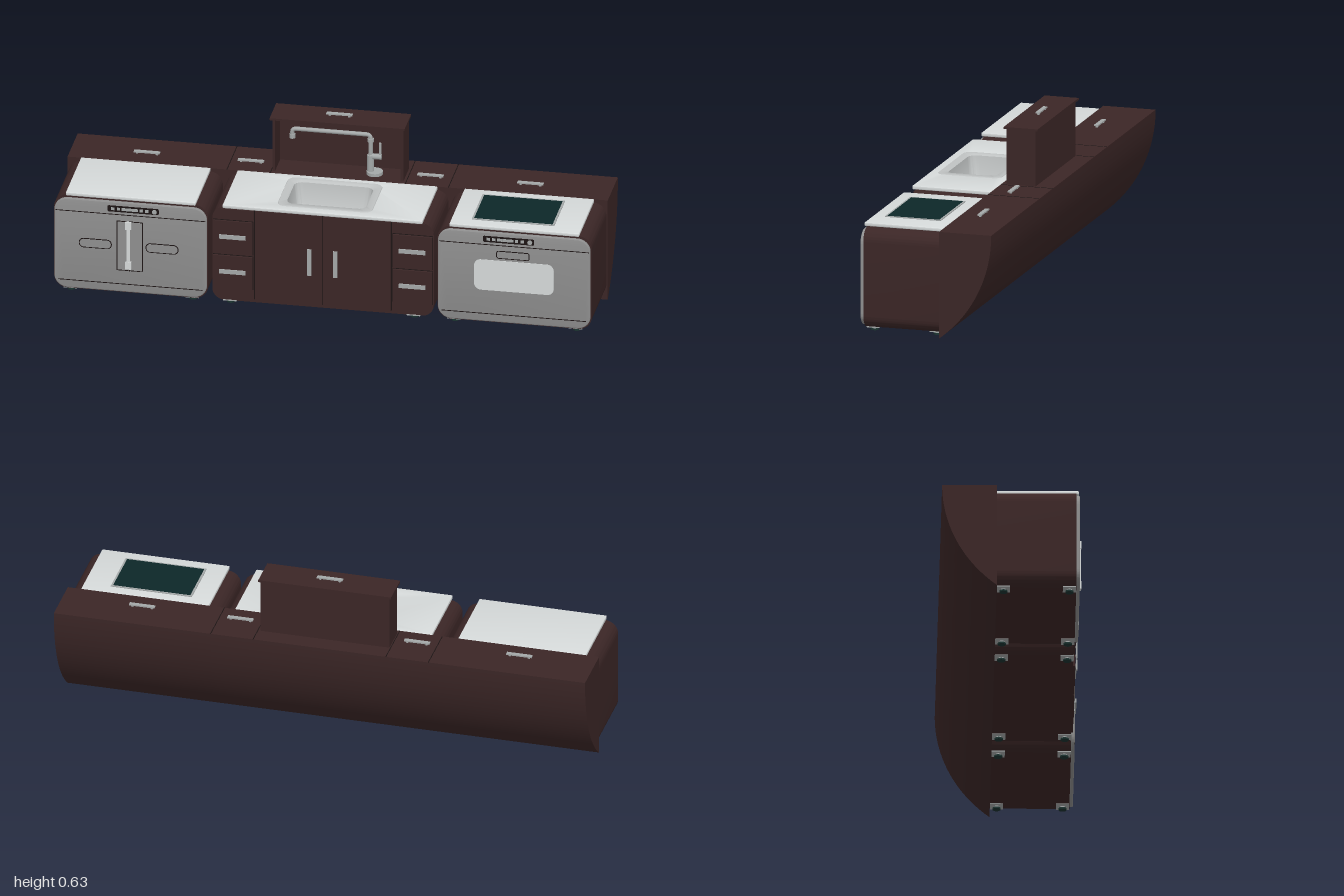
import * as THREE from 'three';
import { toCreasedNormals } from 'three/addons/utils/BufferGeometryUtils.js';

const material = (name, color, side = THREE.FrontSide) => {
  const m = new THREE.MeshStandardMaterial({ color, side });
  m.name = name;
  return m;
};

export function createModel() {
  const brown = material('dark brown lacquer', 0x3b2626);
  const seam = material('dark seam', 0x1c1414);
  const steel = material('brushed steel', 0x8f8f8f);
  const chrome = material('bright fittings', 0xa4a8a8);
  const stone = material('pale worktop', 0xd6dada);
  const bowlMat = material('sink steel', 0xbfc2c2, THREE.DoubleSide);
  const glass = material('dark glass', 0x0c2728);
  const rubber = material('foot rubber', 0x1b3330);

  const model = new THREE.Group();
  model.name = 'kitchenUnit';

  const group = (name, parent = model) => {
    const g = new THREE.Group();
    g.name = name;
    parent.add(g);
    return g;
  };
  const add = (parent, name, geo, mat, x = 0, y = 0, z = 0) => {
    const m = new THREE.Mesh(geo, mat);
    m.name = name;
    m.position.set(x, y, z);
    parent.add(m);
    return m;
  };
  const box = (p, name, mat, w, h, d, x, y, z) => add(p, name, new THREE.BoxGeometry(w, h, d), mat, x, y, z);
  const cyl = (p, name, mat, r, h, x, y, z) => add(p, name, new THREE.CylinderGeometry(r, r, h, 20), mat, x, y, z);

  // rounded rectangle outline, usable as a shape or a hole
  const rounded = (w, h, r, cx = 0, cy = 0, Kind = THREE.Shape) => {
    const s = new Kind(), a = w / 2 - r, b = h / 2 - r;
    s.absarc(cx + a, cy + b, r, 0, Math.PI / 2);
    s.absarc(cx - a, cy + b, r, Math.PI / 2, Math.PI);
    s.absarc(cx - a, cy - b, r, Math.PI, Math.PI * 1.5);
    s.absarc(cx + a, cy - b, r, Math.PI * 1.5, Math.PI * 2);
    s.closePath();
    return s;
  };
  const extrude = (shape, depth, bevel = 0) => {
    const g = new THREE.ExtrudeGeometry(shape, {
      depth: depth - 2 * bevel, curveSegments: 12, bevelEnabled: bevel > 0,
      bevelSize: bevel, bevelThickness: bevel, bevelOffset: -bevel, bevelSegments: 3,
    });
    g.translate(0, 0, bevel);
    return toCreasedNormals(g, 0.6);
  };
  // rounded plate on a front face; z is its back
  const plate = (p, name, mat, w, h, r, d, x, y, z, bevel = 0) =>
    add(p, name, extrude(rounded(w, h, r), d, bevel), mat, x, y, z);

  // bar handle on two posts, lying along x and standing out along z
  const handle = (p, name, len, x, y, z) => {
    const g = group(name, p);
    g.position.set(x, y, z);
    box(g, 'bar', chrome, len, 0.016, 0.005, 0, 0, 0.0085);
    for (const s of [-1, 1]) box(g, 'post', chrome, 0.008, 0.008, 0.007, s * len * 0.38, 0, 0.0035);
    return g;
  };

  const feet = (p, xs) => {
    for (const x of xs) for (const z of [0.21, -0.03]) {
      box(p, 'footPlate', chrome, 0.05, 0.004, 0.048, x, 0.014, z);
      cyl(p, 'footStem', chrome, 0.01, 0.008, x, 0.009, z);
      cyl(p, 'foot', rubber, 0.015, 0.006, x, 0.003, z);
    }
  };

  const worktop = (p, x, w, hole) => {
    const s = rounded(w, 0.3, 0.004, 0, -0.095);
    if (hole) s.holes.push(hole);
    const g = extrude(s, 0.014, 0.003);
    g.rotateX(-Math.PI / 2);
    add(p, 'worktop', g, stone, x, 0.388, 0);
  };

  // rear wall box with bowed back, in three lengths
  const rear = group('rearHousing');
  const profile = new THREE.Shape();
  profile.moveTo(0.055, 0.4);
  profile.lineTo(0.055, 0);
  profile.absarc(-0.2475, 0.4, 0.5015, -0.923, 0);
  profile.closePath();
  for (const [x0, x1] of [[-1, -0.41], [-0.41, 0.41], [0.41, 1]]) {
    const g = new THREE.ExtrudeGeometry(profile, { depth: x1 - x0, curveSegments: 32, bevelEnabled: false });
    g.rotateY(Math.PI / 2);
    add(rear, 'bowedSection', toCreasedNormals(g, 0.5), brown, x0);
  }
  for (const x of [-0.41, -0.25, 0.25, 0.41]) box(rear, 'lidSeam', seam, 0.003, 0.001, 0.198, x, 0.4003, -0.155);
  for (const x of [-0.72, -0.335, 0.33, 0.7]) handle(rear, 'lidHandle', 0.096, x, 0.4, -0.13).rotation.x = -Math.PI / 2;

  // raised niche behind the sink
  const niche = group('tapNiche');
  box(niche, 'nicheBack', brown, 0.485, 0.21, 0.01, -0.003, 0.504, -0.18);
  for (const s of [-1, 1]) box(niche, 'nicheSide', brown, 0.01, 0.21, 0.11, -0.003 + s * 0.2375, 0.504, -0.13);
  box(niche, 'nicheLid', brown, 0.5, 0.008, 0.13, -0.004, 0.612, -0.13);
  handle(niche, 'lidHandle', 0.096, -0.007, 0.616, -0.13).rotation.x = -Math.PI / 2;

  // tap with long arm and side lever
  const tap = group('tap');
  const path = new THREE.CurvePath();
  const v = (x, y) => new THREE.Vector3(x, y, -0.12);
  path.add(new THREE.LineCurve3(v(0.11, 0.4), v(0.11, 0.54)));
  path.add(new THREE.QuadraticBezierCurve3(v(0.11, 0.54), v(0.11, 0.556), v(0.094, 0.556)));
  path.add(new THREE.LineCurve3(v(0.094, 0.556), v(-0.165, 0.556)));
  path.add(new THREE.QuadraticBezierCurve3(v(-0.165, 0.556), v(-0.18, 0.556), v(-0.18, 0.541)));
  path.add(new THREE.LineCurve3(v(-0.18, 0.541), v(-0.18, 0.525)));
  add(tap, 'tapPipe', new THREE.TubeGeometry(path, 120, 0.008, 12), chrome);
  cyl(tap, 'tapNozzle', chrome, 0.011, 0.016, -0.18, 0.527, -0.12);
  cyl(tap, 'tapBase', chrome, 0.03, 0.012, 0.125, 0.406, -0.12);
  cyl(tap, 'tapBody', chrome, 0.013, 0.07, 0.11, 0.44, -0.12);
  cyl(tap, 'tapCollar', chrome, 0.012, 0.012, 0.11, 0.535, -0.12);
  cyl(tap, 'leverPivot', chrome, 0.011, 0.04, 0.13, 0.47, -0.12).rotation.z = Math.PI / 2;
  cyl(tap, 'lever', chrome, 0.005, 0.06, 0.145, 0.495, -0.12);

  // steel-fronted appliance shared by both ends
  const appliance = (name, cx, controlX) => {
    const g = group(name);
    add(g, 'body', extrude(rounded(0.57, 0.374, 0.05, 0, 0.201), 0.29), brown, cx, 0, -0.055);
    worktop(g, cx, 0.48);
    plate(g, 'frontPanel', steel, 0.565, 0.36, 0.05, 0.013, cx, 0.2, 0.235, 0.004);
    for (const y of [0.33, 0.052]) box(g, 'panelSeam', seam, 0.555 - (y < 0.1 ? 0.02 : 0), 0.003, 0.001, cx, y, 0.248);
    plate(g, 'controlStrip', seam, 0.19, 0.024, 0.006, 0.002, controlX, 0.353, 0.2475);
    for (let i = 0; i < 7; i++) {
      const mid = i > 1 && i < 5;
      box(g, 'button', chrome, mid ? 0.02 : 0.012, 0.011, 0.003, controlX - 0.075 + i * 0.021, 0.353, 0.2495);
    }
    cyl(g, 'knob', chrome, 0.009, 0.005, controlX + 0.079, 0.353, 0.251).rotation.x = Math.PI / 2;
    feet(g, [cx - 0.225, cx + 0.225]);
    return g;
  };
  // outlined rounded inset on a steel front
  const inset = (p, name, mat, w, h, r, x, y) => {
    plate(p, name + 'Outline', seam, w, h, r, 0.001, x, y, 0.2475);
    plate(p, name, mat, w - 0.007, h - 0.007, r - 0.0035, 0.002, x, y, 0.2475);
  };

  // left end: cooler with upright handle
  const cooler = appliance('coolerCabinet', -0.71, -0.7);
  inset(cooler, 'handlePlate', steel, 0.098, 0.2, 0.004, -0.713, 0.206);
  for (const x of [-0.84, -0.593]) inset(cooler, 'gripPill', steel, 0.122, 0.038, 0.018, x, 0.206);
  box(cooler, 'doorSplit', seam, 0.002, 0.2, 0.001, -0.713, 0.206, 0.2497);
  box(cooler, 'uprightHandle', stone, 0.012, 0.15, 0.006, -0.717, 0.21, 0.252);
  for (const y of [0.13, 0.29]) box(cooler, 'handleEnd', stone, 0.022, 0.03, 0.008, -0.717, y, 0.252);

  // right end: oven with window and glass hob
  const oven = appliance('ovenCabinet', 0.71, 0.69);
  inset(oven, 'ovenGrip', steel, 0.124, 0.032, 0.01, 0.706, 0.293);
  plate(oven, 'ovenWindow', stone, 0.295, 0.122, 0.025, 0.002, 0.71, 0.208, 0.2475);
  box(oven, 'hobFrame', chrome, 0.305, 0.003, 0.212, 0.697, 0.4035, 0.092);
  box(oven, 'hobGlass', glass, 0.29, 0.004, 0.197, 0.697, 0.404, 0.092);

  // middle cabinet, notched on top for the sink
  const middle = group('sinkCabinet');
  const body = new THREE.Shape();
  body.moveTo(-0.17, 0.388);
  body.absarc(-0.364, 0.342, 0.046, Math.PI / 2, Math.PI);
  body.absarc(-0.364, 0.06, 0.046, Math.PI, Math.PI * 1.5);
  body.absarc(0.364, 0.06, 0.046, Math.PI * 1.5, Math.PI * 2);
  body.absarc(0.364, 0.342, 0.046, 0, Math.PI / 2);
  for (const [x, y] of [[0.17, 0.388], [0.17, 0.25], [-0.17, 0.25]]) body.lineTo(x, y);
  body.closePath();
  add(middle, 'body', extrude(body, 0.287), brown, 0, 0, -0.055);
  worktop(middle, 0, 0.74, rounded(0.3, 0.2, 0.03, 0, -0.09, THREE.Path));
  feet(middle, [-0.345, 0.335]);
  for (const s of [-1, 1]) {
    box(middle, 'door', brown, 0.248, 0.36, 0.01, s * 0.1265, 0.206, 0.236);
    handle(middle, 'doorHandle', 0.105, s * 0.048, 0.2, 0.241).rotation.z = Math.PI / 2;
    box(middle, 'sideSeam', seam, 0.004, 0.36, 0.001, s * 0.2535, 0.206, 0.2325);
    for (const y of [0.27, 0.13]) {
      box(middle, 'drawerGap', seam, 0.15, 0.136, 0.001, s * 0.333, y, 0.2325);
      box(middle, 'drawer', brown, 0.146, 0.131, 0.008, s * 0.333, y, 0.237);
      handle(middle, 'drawerHandle', 0.098, s * 0.333, y + 0.006, 0.241);
    }
    box(middle, 'topRail', brown, 0.12, 0.04, 0.006, s * 0.318, 0.363, 0.235);
  }
  box(middle, 'doorSeam', seam, 0.004, 0.36, 0.001, 0, 0.206, 0.2325);

  // sink bowl lofted through rounded rectangles: width, depth, corner radius, height
  const rings = [[0.352, 0.244, 0.03, 0.4015], [0.348, 0.24, 0.03, 0.4045], [0.304, 0.198, 0.032, 0.4045],
    [0.292, 0.186, 0.03, 0.4], [0.27, 0.166, 0.03, 0.32], [0.25, 0.146, 0.03, 0.308], [0.03, 0.03, 0.0149, 0.304]];
  const pos = [], index = [];
  let n = 0;
  rings.forEach(([w, d, r, y], k) => {
    n = 0;
    for (const [q, sx, sz] of [[0, 1, 1], [1, -1, 1], [2, -1, -1], [3, 1, -1]]) {
      for (let i = 0; i <= 8; i++, n++) {
        const a = (q + i / 8) * Math.PI / 2;
        pos.push(sx * (w / 2 - r) + r * Math.cos(a), y, sz * (d / 2 - r) + r * Math.sin(a));
      }
    }
    if (k) for (let i = 0; i < n; i++) {
      const a = (k - 1) * n + i, b = (k - 1) * n + (i + 1) % n;
      index.push(a, b, a + n, b, b + n, a + n);
    }
  });
  const bowl = new THREE.BufferGeometry();
  bowl.setAttribute('position', new THREE.Float32BufferAttribute(pos, 3));
  // reverse winding so the inside of the bowl faces up
  for (let i = 0; i < index.length; i += 3) [index[i + 1], index[i + 2]] = [index[i + 2], index[i + 1]];
  bowl.setIndex(index);
  bowl.computeVertexNormals();
  const up = bowl.attributes.normal.getY(2 * n) > 0;
  if (!up) { bowl.setIndex(index.reverse()); bowl.computeVertexNormals(); }
  add(middle, 'sinkBowl', toCreasedNormals(bowl, 0.7), bowlMat, 0, 0, 0.092);
  cyl(middle, 'drain', chrome, 0.026, 0.004, 0, 0.306, 0.092);
  cyl(middle, 'drainRing', seam, 0.018, 0.005, 0, 0.3065, 0.092);
  cyl(middle, 'drainPlug', chrome, 0.012, 0.006, 0, 0.308, 0.092);

  return model;
}
